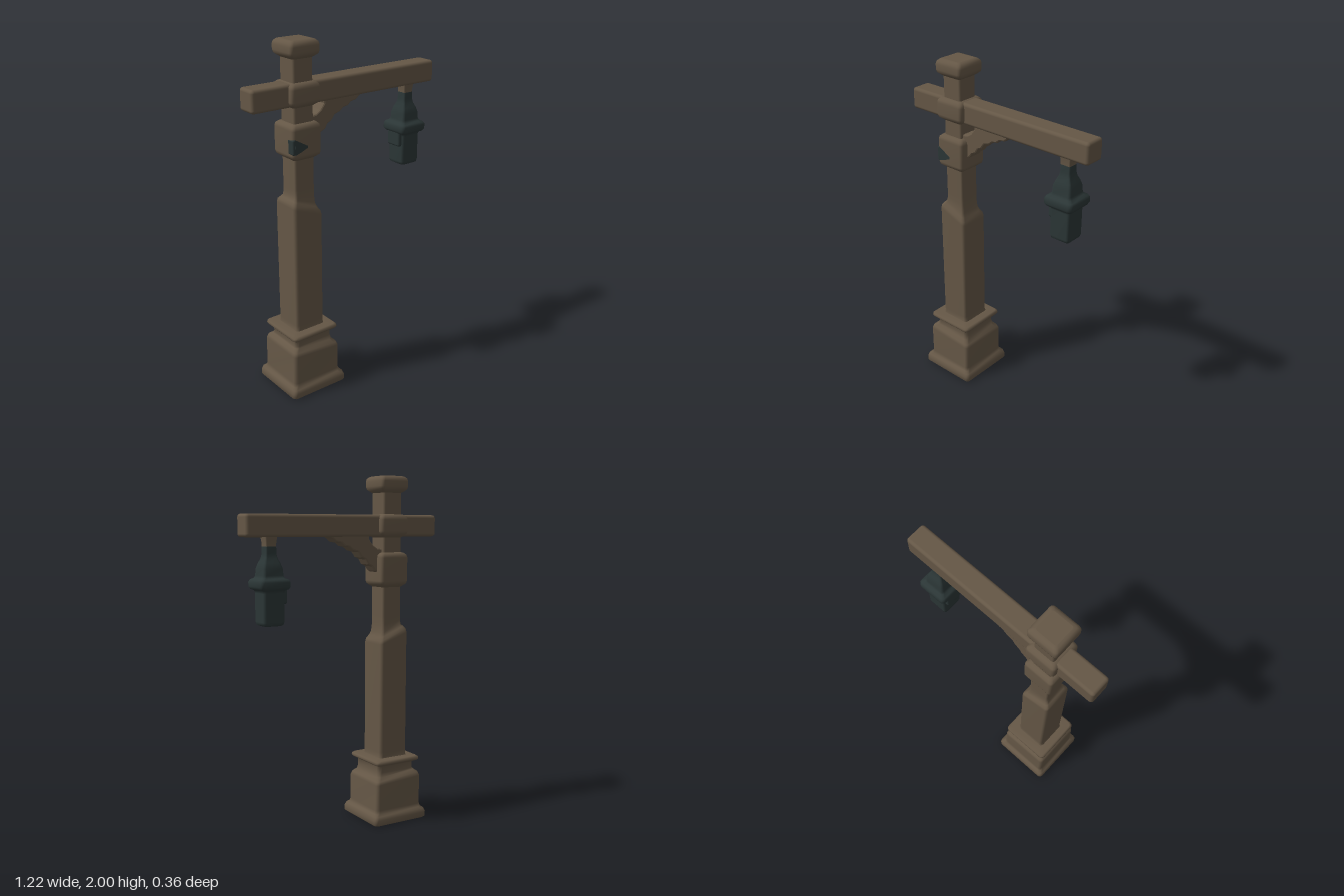
import * as THREE from 'three';
import { RoundedBoxGeometry } from 'three/addons/geometries/RoundedBoxGeometry.js';

const wood = new THREE.MeshStandardMaterial({ color: 0x655746 });
wood.name = 'weathered wood';
const iron = new THREE.MeshStandardMaterial({ color: 0x2b3636 });
iron.name = 'dark iron';

// Lofts a rounded square up a profile of [half width, y, optional tilt along x].
function squareLoft(profile, cornerRatio = 0.2) {
  const pos = [], idx = [], steps = 3, n = 4 * (steps + 1);
  for (const [h, y, tilt = 0] of profile) {
    const r = Math.min(0.022, h * cornerRatio);
    for (let c = 0; c < 4; c++) {
      for (let s = 0; s <= steps; s++) {
        const a = (c + s / steps) * Math.PI / 2;
        const sx = c === 0 || c === 3 ? 1 : -1, sz = c < 2 ? 1 : -1;
        const x = sx * (h - r) + r * Math.cos(a);
        pos.push(x, y + tilt * x, sz * (h - r) + r * Math.sin(a));
      }
    }
  }
  for (let i = 0; i < profile.length - 1; i++) {
    for (let j = 0; j < n; j++) {
      const a = i * n + j, b = i * n + (j + 1) % n;
      idx.push(a, a + n, b, b, a + n, b + n);
    }
  }
  // End caps on their own vertices, so that they stay flat
  for (const [ring, top] of [[0, false], [profile.length - 1, true]]) {
    const start = pos.length / 3;
    pos.push(...pos.slice(ring * n * 3, (ring + 1) * n * 3));
    for (let j = 1; j < n - 1; j++) {
      if (top) idx.push(start, start + j + 1, start + j);
      else idx.push(start, start + j, start + j + 1);
    }
  }
  const g = new THREE.BufferGeometry();
  g.setAttribute('position', new THREE.Float32BufferAttribute(pos, 3));
  g.setIndex(idx);
  g.computeVertexNormals();
  return g;
}

function add(parent, name, geometry, material, x = 0, y = 0, z = 0) {
  const m = new THREE.Mesh(geometry, material);
  m.name = name;
  m.position.set(x, y, z);
  parent.add(m);
  return m;
}

function polygon(points) {
  return new THREE.Shape(points.map(([x, y]) => new THREE.Vector2(x, y)));
}

export function createModel() {
  const model = new THREE.Group();
  model.name = 'lampPost';
  const postX = -0.3;

  // Stepped plinth
  add(model, 'plinth', squareLoft([
    [0.172, 0], [0.181, 0.008], [0.181, 0.035], [0.174, 0.055], [0.16, 0.065],
    [0.154, 0.085], [0.154, 0.245, -0.07], [0.147, 0.265, -0.08], [0.127, 0.283, -0.08],
    [0.121, 0.3], [0.121, 0.335], [0.131, 0.346], [0.145, 0.35], [0.15, 0.357],
    [0.148, 0.369], [0.138, 0.376], [0.08, 0.378],
  ]), wood, postX);

  // Thick lower shaft with a slanted shoulder, then the slim shaft
  add(model, 'shaft', squareLoft([
    [0.098, 0.37], [0.092, 0.385], [0.092, 0.41], [0.092, 1.08, -0.36], [0.088, 1.1, -0.38],
    [0.075, 1.118, -0.4], [0.066, 1.135, -0.35], [0.062, 1.17, -0.2],
    [0.062, 1.21], [0.062, 1.93],
  ]), wood, postX);

  // Blocks around the post
  const block = (name, bottom, top, h = 0.092) => add(model, name, squareLoft([
    [h - 0.032, bottom - 0.008], [h - 0.017, bottom + 0.003], [h - 0.004, bottom + 0.014],
    [h, bottom + 0.03], [h, top - 0.03], [h - 0.004, top - 0.014],
    [h - 0.017, top - 0.003], [h - 0.03, top],
  ]), wood, postX);
  block('braceBlock', 1.38, 1.572);
  block('armCollar', 1.662, 1.786);
  block('postCap', 1.912, 2);

  // Crossbeam
  add(model, 'arm', new RoundedBoxGeometry(1.216, 0.122, 0.122, 3, 0.018), wood, 0, 1.722);

  // Stepped diagonal brace, open at the inner corner
  const brace = new THREE.ExtrudeGeometry(polygon([
    [-0.24, 1.45], [-0.2, 1.475], [-0.182, 1.5], [-0.155, 1.512], [-0.138, 1.54],
    [-0.112, 1.552], [-0.09, 1.583], [-0.055, 1.592], [-0.03, 1.612], [0.0, 1.617],
    [0.02, 1.635], [0.055, 1.641], [0.075, 1.658], [0.1, 1.67], [0.1, 1.69],
    [-0.15, 1.69], [-0.148, 1.645], [-0.175, 1.61], [-0.205, 1.59], [-0.24, 1.585],
  ]), { depth: 0.064, bevelThickness: 0.012, bevelSize: 0.008, bevelSegments: 2 });
  add(model, 'brace', brace, wood, 0, 0, -0.032);

  // Hanging lantern
  const lantern = new THREE.Group();
  lantern.name = 'lantern';
  lantern.position.x = 0.45;
  model.add(lantern);
  add(lantern, 'hanger', squareLoft([[0.03, 1.61], [0.031, 1.635], [0.036, 1.67]]), wood);
  add(lantern, 'lanternBody', squareLoft([
    [0.048, 1.19], [0.058, 1.196], [0.062, 1.212], [0.062, 1.365], [0.066, 1.38],
    [0.082, 1.386], [0.09, 1.4], [0.09, 1.425], [0.083, 1.438], [0.066, 1.446],
    [0.06, 1.46], [0.058, 1.495], [0.048, 1.525], [0.036, 1.55], [0.031, 1.575],
    [0.031, 1.61], [0.027, 1.622],
  ], 0.25), iron);
  add(lantern, 'sideBracket', new RoundedBoxGeometry(0.04, 0.1, 0.1, 2, 0.012), iron, -0.063, 1.355);

  // Iron patch wrapping the front corner of the brace block
  const frontPatch = new THREE.ExtrudeGeometry(polygon([
    [-0.38, 1.415], [-0.34, 1.428], [-0.3, 1.445], [-0.3, 1.455], [-0.34, 1.478], [-0.38, 1.5],
  ]), { depth: 0.006, bevelEnabled: false });
  add(model, 'frontPatch', frontPatch, iron, 0, 0, 0.088);
  add(model, 'sidePatch', new RoundedBoxGeometry(0.02, 0.084, 0.05, 2, 0.009), iron, -0.3835, 1.457, 0.069);

  return model;
}
